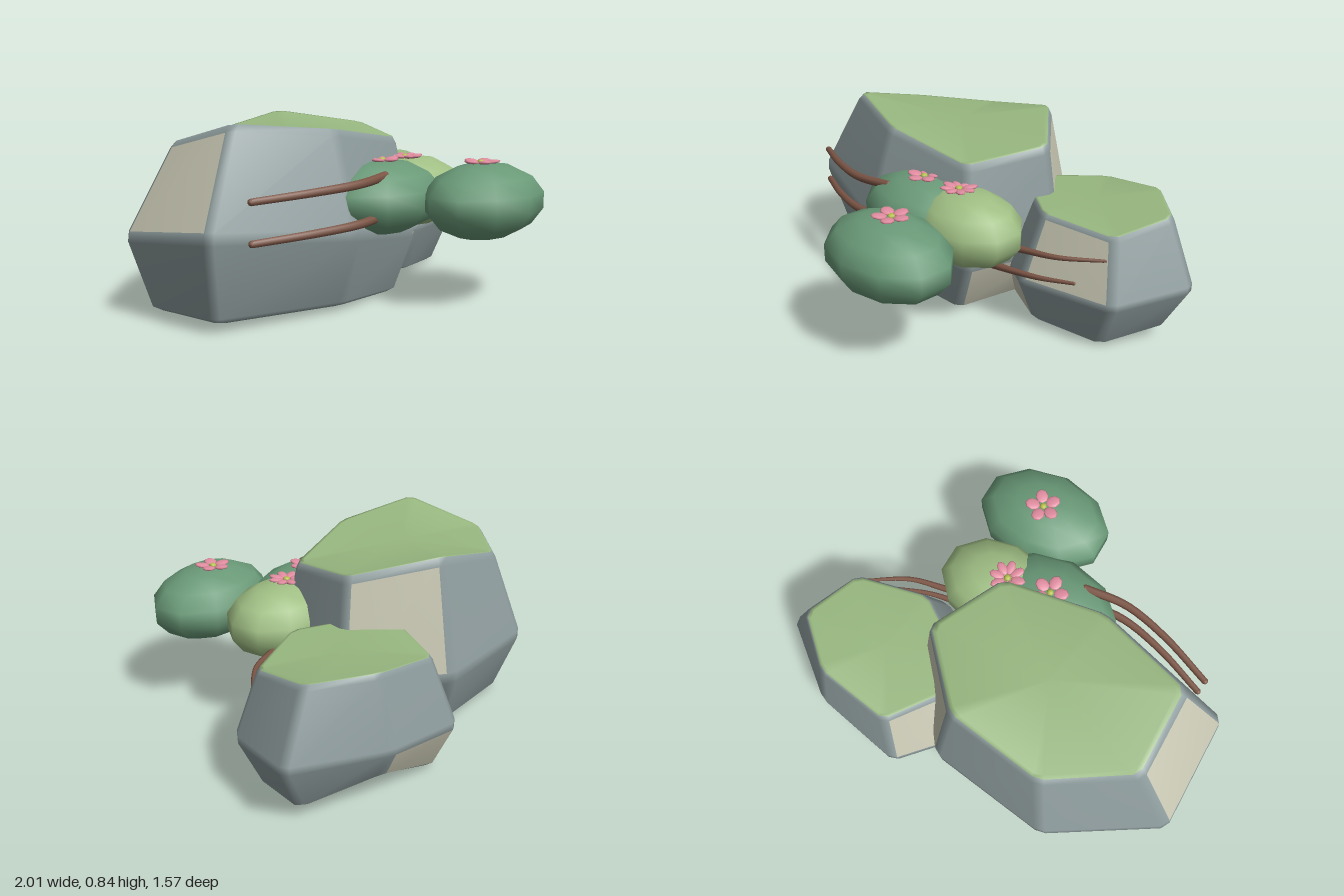
import * as THREE from 'three';
import { mergeVertices } from 'three/addons/utils/BufferGeometryUtils.js';

const mat = (color) => new THREE.MeshStandardMaterial({ color });
const V = (a) => new THREE.Vector3(...a);
const STONE = mat(0x8f9d9e), SAND = mat(0xc9c8b4), MOSS = mat(0x98b880);
const LEAF = mat(0x6a9a78), LIGHT_LEAF = mat(0xa0bf84), BARK = mat(0x7d5646);
const PETAL = mat(0xe08c9f), POLLEN = mat(0xb5bf4c);

// Splits every corner of a loop in two, so vertical edges get a narrow bevel
function chamfer(loop, d) {
  const out = [];
  loop.forEach((p, i) => {
    for (const q of [loop[(i + loop.length - 1) % loop.length], loop[(i + 1) % loop.length]]) {
      out.push(p.clone().addScaledVector(q.clone().sub(p).normalize(), d));
    }
  });
  return out;
}

const middle = (loop) => loop.reduce((s, p) => s.add(p), new THREE.Vector3()).divideScalar(loop.length);
const blend = (a, b, t) => a.map((p, i) => p.clone().lerp(b[i], t));
const inset = (loop, t) => { const c = middle(loop); return loop.map((p) => p.clone().lerp(c, t)); };

// Boulder from bottom, waist and top loops, with bevelled edges and a mossy cap
function boulder(name, bottom, waist, top, sandUpper, sandLower) {
  const [b, w, t] = [bottom, waist, top].map((l) => chamfer(l.map(V), 0.027));
  const rings = [
    inset(b, 0.06), blend(b, w, 0.07), blend(w, b, 0.07),
    blend(w, t, 0.06), blend(t, w, 0.07), inset(t, 0.02), inset(t, 0.06),
  ];
  const parts = [[], [], []]; // stone, sand, moss
  const n = b.length;
  const cap = (ring, up, list) => {
    const c = middle(ring);
    ring.forEach((p, j) => {
      const q = ring[(j + 1) % n];
      list.push(c, ...(up ? [q, p] : [p, q]));
    });
  };
  for (let k = 0; k < rings.length - 1; k++) {
    for (let j = 0; j < n; j++) {
      const side = j % 2 ? (j - 1) / 2 : -1;
      const sandy = (k === 1 && sandLower.includes(side)) || (k === 3 && sandUpper.includes(side));
      const list = parts[k === 5 ? 2 : sandy ? 1 : 0];
      const m = (j + 1) % n, lo = rings[k], hi = rings[k + 1];
      list.push(lo[m], lo[j], hi[j], lo[m], hi[j], hi[m]);
    }
  }
  cap(rings[0], false, parts[0]);
  cap(rings[6], true, parts[2]);
  // welded, area-weighted normals keep the big faces flat and the bevels soft
  const geo = mergeVertices(new THREE.BufferGeometry().setFromPoints(parts.flat()), 1e-5);
  geo.computeVertexNormals();
  let start = 0;
  parts.forEach((p, i) => { geo.addGroup(start, p.length, i); start += p.length; });
  const mesh = new THREE.Mesh(geo, [STONE, SAND, MOSS]);
  mesh.name = name;
  return mesh;
}

// Rounded bush
function bush(name, pos, size, material) {
  const geo = new THREE.SphereGeometry(1, 10, 7).rotateY(Math.PI / 10);
  const mesh = new THREE.Mesh(geo, material);
  mesh.name = name;
  mesh.position.set(...pos);
  mesh.scale.set(...size);
  return mesh;
}

// Flower: a ring of flattened petals around a small centre
function flower(name, pos, petals, turn) {
  const g = new THREE.Group();
  g.name = name;
  g.position.set(...pos);
  const petalGeo = new THREE.SphereGeometry(1, 8, 6)
    .scale(0.036, 0.009, petals > 5 ? 0.022 : 0.03).rotateZ(0.12).translate(0.05, 0.002, 0);
  for (let i = 0; i < petals; i++) {
    const petal = new THREE.Mesh(petalGeo, PETAL);
    petal.name = 'petal';
    petal.rotation.y = turn + (i / petals) * Math.PI * 2;
    g.add(petal);
  }
  const heart = new THREE.Mesh(new THREE.SphereGeometry(0.017, 8, 6), POLLEN);
  heart.name = 'flowerCentre';
  heart.scale.y = 0.7;
  g.add(heart);
  return g;
}

// Tapered twig along a curve, with rounded ends
function twig(name, points, r0, r1) {
  const curve = new THREE.CatmullRomCurve3(points.map(V));
  const steps = 16, sides = 7;
  const geo = new THREE.TubeGeometry(curve, steps, 1, sides);
  const p = geo.attributes.position, v = new THREE.Vector3();
  for (let i = 0; i <= steps; i++) {
    const c = curve.getPointAt(i / steps);
    for (let j = 0; j <= sides; j++) {
      const k = i * (sides + 1) + j;
      v.fromBufferAttribute(p, k).sub(c).multiplyScalar(r0 + (r1 - r0) * i / steps).add(c);
      p.setXYZ(k, v.x, v.y, v.z);
    }
  }
  const g = new THREE.Group();
  g.name = name;
  const stem = new THREE.Mesh(geo, BARK);
  stem.name = 'twigStem';
  g.add(stem);
  [[0, r0], [1, r1]].forEach(([t, r]) => {
    const end = new THREE.Mesh(new THREE.SphereGeometry(r, 7, 5), BARK);
    end.name = 'twigEnd';
    end.position.copy(curve.getPointAt(t));
    g.add(end);
  });
  return g;
}

export function createModel() {
  const model = new THREE.Group();
  model.name = 'mossyRocks';

  // Rocks
  model.add(boulder('largeRock',
    [[-0.92, 0.03, -0.42], [-0.54, 0.02, -0.65], [-0.04, 0.03, -0.6], [0.23, 0.04, -0.27],
      [0.11, 0, 0.1], [-0.32, 0.025, 0.15], [-0.92, 0.045, 0]],
    [[-1.01, 0.36, -0.47], [-0.52, 0.33, -0.77], [0.07, 0.32, -0.69], [0.37, 0.3, -0.3],
      [0.22, 0.27, 0.14], [-0.36, 0.36, 0.27], [-1.01, 0.42, 0.08]],
    [[-0.79, 0.75, -0.41], [-0.43, 0.75, -0.64], [0.01, 0.845, -0.59], [0.3, 0.785, -0.28],
      [0.14, 0.735, 0.08], [-0.34, 0.805, 0.13], [-0.79, 0.845, -0.02]],
    [2, 6], [0, 3]));
  model.add(boulder('smallRock',
    [[0.27, 0.01, -0.71], [0.62, 0.13, -0.645], [0.9, 0.06, -0.44], [0.76, 0.005, -0.16],
      [0.43, 0.015, -0.09], [0.15, 0.02, -0.22], [0.1, 0.02, -0.48]],
    [[0.25, 0.22, -0.8], [0.68, 0.28, -0.72], [1.025, 0.29, -0.45], [0.86, 0.25, -0.1],
      [0.42, 0.25, 0.01], [0.05, 0.25, -0.2], [0, 0.25, -0.54]],
    [[0.31, 0.535, -0.7], [0.66, 0.595, -0.65], [0.88, 0.585, -0.45], [0.79, 0.54, -0.17],
      [0.44, 0.56, -0.1], [0.18, 0.56, -0.28], [0.13, 0.55, -0.46]],
    [3, 6], [0, 4]));

  // Bushes
  model.add(bush('frontBush', [0.18, 0.478, 0.545], [0.335, 0.172, 0.243], LEAF));
  model.add(bush('leftBush', [-0.06, 0.485, 0.155], [0.335, 0.17, 0.245], LEAF));
  model.add(bush('lightBush', [0.2, 0.483, 0.125], [0.288, 0.168, 0.225], LIGHT_LEAF));

  // Flowers
  model.add(flower('frontFlower', [0.18, 0.648, 0.525], 5, 0.3));
  model.add(flower('leftFlower', [-0.06, 0.652, 0.155], 5, 0.95));
  model.add(flower('lightFlower', [0.145, 0.648, 0.125], 8, 0.2));

  // Twigs
  [[0.555, 0.6], [0.39, 0.43]].forEach(([y0, y1], i) => {
    model.add(twig(`leftTwig${i + 1}`, [[-0.85, y0, 0.155], [-0.6, y0 + (y1 - y0) * 0.4, 0.25],
      [-0.38, y0 + (y1 - y0) * 0.7, 0.295], [-0.18, y1, 0.27]], 0.015, 0.021));
  });
  model.add(twig('rightTwig1',
    [[0.25, 0.405, 0.05], [0.45, 0.42, 0.01], [0.6, 0.43, -0.03], [0.78, 0.443, -0.145]], 0.02, 0.007));
  model.add(twig('rightTwig2',
    [[0.2, 0.28, 0.04], [0.38, 0.295, 0.02], [0.52, 0.305, -0.01], [0.67, 0.317, -0.07]], 0.02, 0.008));

  return model;
}
